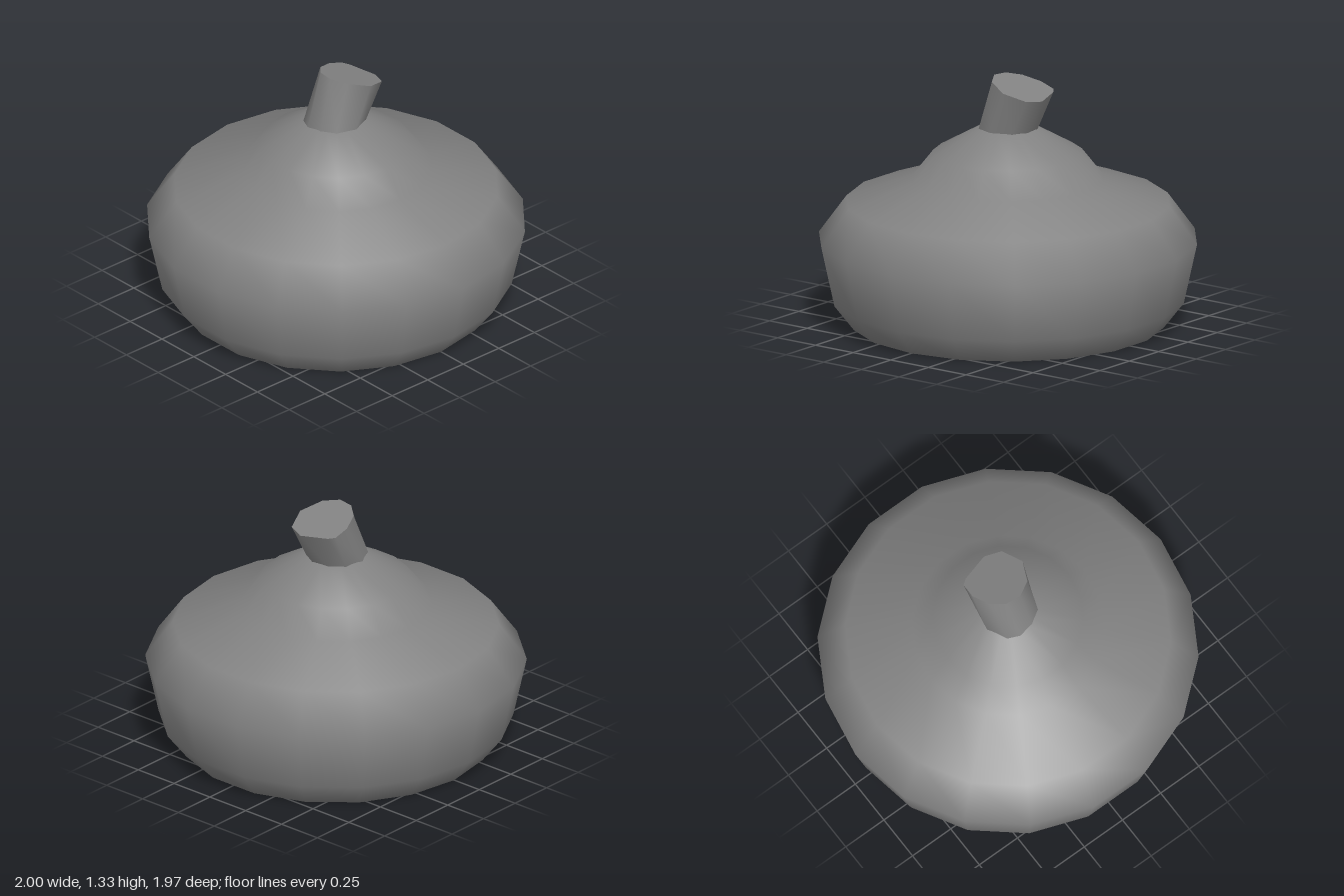
import * as THREE from 'three';

const SIDES = 18;

// Radius and height: down the domed hollow, round the rim, up the outside
const BODY_PROFILE = [
  [0, 0.42], [0.35, 0.395], [0.61, 0.29], [0.74, 0.15], [0.79, 0],
  [0.825, 0], [0.93, 0.135], [1, 0.455], [0.855, 0.655],
  [0.505, 0.78], [0.395, 0.92], [0.155, 1.055], [0, 1.06],
];

// Stem outlines as x, z pairs, running from the back past +x to the front
const STEM_BASE = [
  [0.03, -0.153], [0.11, -0.11], [0.155, 0], [0.12, 0.103], [0.045, 0.15],
  [-0.04, 0.163], [-0.105, 0.135], [-0.16, 0.03], [-0.14, -0.08], [-0.07, -0.14],
];
const STEM_TOP = [
  [0.03, -0.25], [0.12, -0.215], [0.166, -0.095], [0.112, 0.02], [0.03, 0.068],
  [-0.055, 0.058], [-0.123, 0], [-0.161, -0.095], [-0.156, -0.18], [-0.123, -0.205],
];

const stemTopHeight = (z) => 1.314 + 0.3 * z; // slanted cut

function indexedGeometry(points, index) {
  const geometry = new THREE.BufferGeometry();
  geometry.setAttribute('position', new THREE.Float32BufferAttribute(points.flat(), 3));
  geometry.setIndex(index);
  geometry.computeVertexNormals();
  return geometry;
}

export function createModel() {
  const group = new THREE.Group();
  const material = new THREE.MeshStandardMaterial({ color: 0x828282 });
  const add = (name, geometry) => {
    const mesh = new THREE.Mesh(geometry, material);
    mesh.name = name;
    group.add(mesh);
  };

  // Squat gourd body with a corner on the x axis and a hollow underside
  const profile = BODY_PROFILE.map(([r, y]) => new THREE.Vector2(r, y));
  const body = new THREE.LatheGeometry(profile, SIDES, Math.PI / 2);
  // The rim on the ground is shaded as facing straight down
  const { position, normal } = body.attributes;
  for (let i = 0; i < position.count; i++) {
    if (position.getY(i) === 0) normal.setXYZ(i, 0, -1, 0);
  }
  add('body', body);

  // Irregular stem leaning backwards
  const n = STEM_BASE.length;
  const base = STEM_BASE.map(([x, z]) => [x, 1.05, z]);
  const top = STEM_TOP.map(([x, z]) => [x, stemTopHeight(z), z]);
  const sideIndex = [];
  const capIndex = [];
  for (let i = 0; i < n; i++) {
    const j = (i + 1) % n;
    sideIndex.push(i, n + i, n + j, i, n + j, j);
    capIndex.push(n, j, i);
  }
  add('stem', indexedGeometry([...base, ...top], sideIndex));

  // Flat cut end of the stem, kept separate for a sharp rim
  add('stemEnd', indexedGeometry([...top, [0, stemTopHeight(-0.09), -0.09]], capIndex));

  return group;
}
